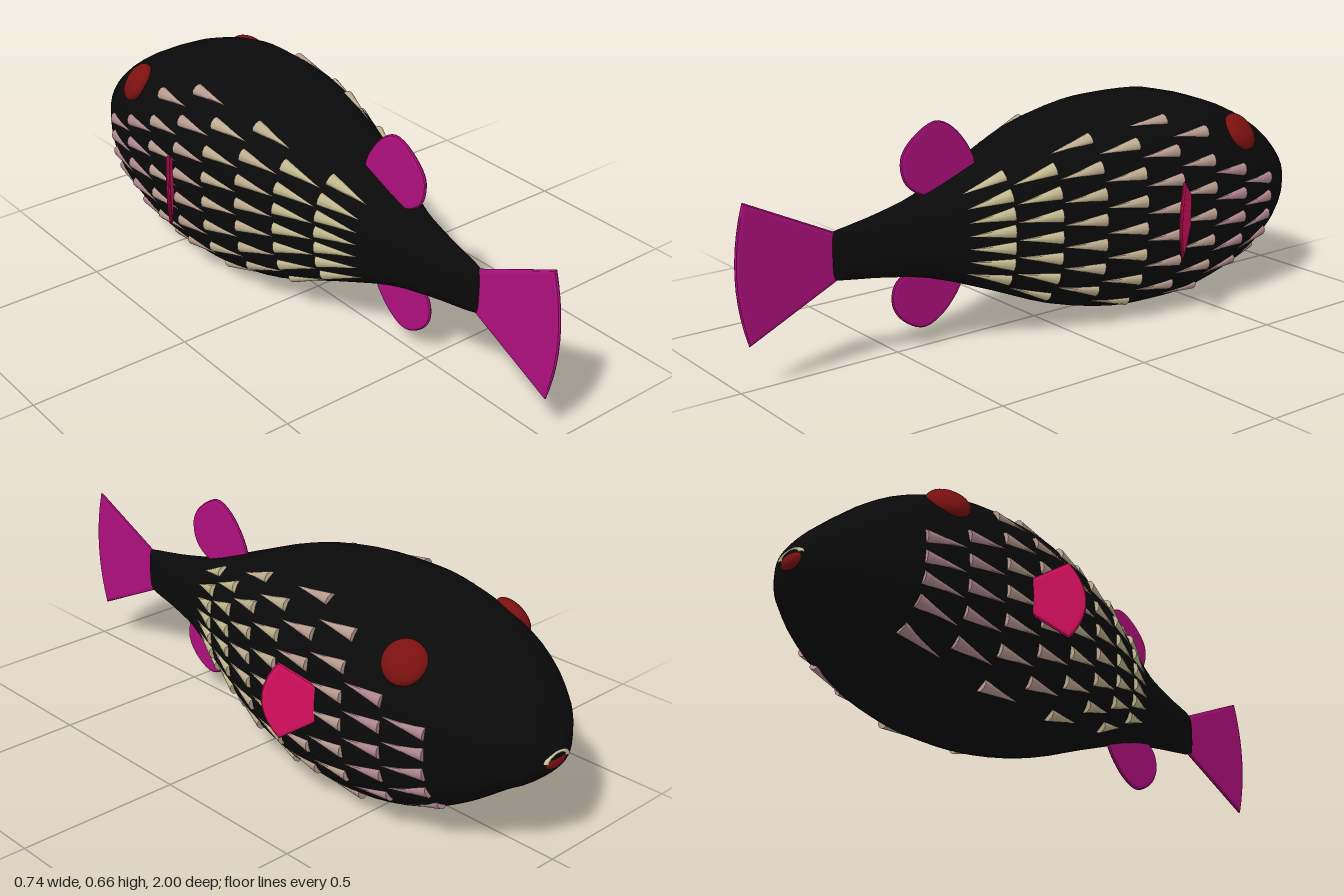
import * as THREE from 'three';

const mat = (name, color) => Object.assign(new THREE.MeshStandardMaterial({ color }), { name });

// Body stations from nose to tail root: z, half width, half height, centre height
const STATIONS = [
  [-0.995, 0.012, 0.008, 0.305], [-0.985, 0.05, 0.028, 0.305], [-0.95, 0.115, 0.075, 0.305],
  [-0.9, 0.173, 0.12, 0.318], [-0.8, 0.235, 0.2, 0.325], [-0.68, 0.268, 0.266, 0.325],
  [-0.5, 0.284, 0.319, 0.326], [-0.35, 0.286, 0.326, 0.326], [-0.2, 0.275, 0.318, 0.327],
  [0, 0.235, 0.275, 0.33], [0.2, 0.17, 0.197, 0.332], [0.4, 0.093, 0.122, 0.33],
  [0.55, 0.056, 0.09, 0.328], [0.65, 0.034, 0.076, 0.327], [0.695, 0.016, 0.07, 0.327],
  [0.71, 0.002, 0.064, 0.327],
];
const POWER = 2.7;

// Smoothly interpolated station at depth z
function section(z) {
  let i = 0;
  while (i < STATIONS.length - 2 && STATIONS[i + 1][0] < z) i++;
  const at = (k) => STATIONS[Math.min(Math.max(k, 0), STATIONS.length - 1)];
  const [p0, a, b, p3] = [at(i - 1), at(i), at(i + 1), at(i + 2)];
  const d = b[0] - a[0], t = (z - a[0]) / d;
  return [1, 2, 3].map((k) => {
    const m0 = (b[k] - p0[k]) / (b[0] - p0[0]) * d, m1 = (p3[k] - a[k]) / (p3[0] - a[0]) * d;
    return (2 * t ** 3 - 3 * t ** 2 + 1) * a[k] + (t ** 3 - 2 * t ** 2 + t) * m0
      + (3 * t ** 2 - 2 * t ** 3) * b[k] + (t ** 3 - t ** 2) * m1;
  });
}

// Rounded-square cross-sections skinned into a closed body
function bodyGeometry() {
  const sides = 36, pos = [], idx = [], zs = [];
  for (let i = 0; i < STATIONS.length - 1; i++)
    for (let k = 0; k < 3; k++) zs.push(THREE.MathUtils.lerp(STATIONS[i][0], STATIONS[i + 1][0], k / 3));
  zs.push(STATIONS.at(-1)[0]);
  const bend = (v) => Math.sign(v) * Math.abs(v) ** (2 / POWER);
  for (const z of zs) {
    const [w, h, cy] = section(z);
    for (let j = 0; j < sides; j++) {
      const a = (j / sides) * Math.PI * 2;
      pos.push(w * bend(Math.cos(a)), cy + h * bend(Math.sin(a)), z);
    }
  }
  for (let i = 0; i < zs.length - 1; i++)
    for (let j = 0; j < sides; j++) {
      const a = i * sides + j, b = i * sides + (j + 1) % sides;
      idx.push(a, b, a + sides, b, b + sides, a + sides);
    }
  // End caps
  const last = (zs.length - 1) * sides;
  for (let j = 1; j < sides - 1; j++) idx.push(0, j + 1, j, last, last + j, last + j + 1);
  const g = new THREE.BufferGeometry();
  g.setAttribute('position', new THREE.Float32BufferAttribute(pos, 3));
  g.setIndex(idx);
  g.computeVertexNormals();
  return g;
}

// Point on the left flank at relative height s (-1..1)
function flank(z, s) {
  const [w, h, cy] = section(z);
  return new THREE.Vector3(w * (1 - Math.abs(s) ** POWER) ** (1 / POWER), cy + h * s, z);
}

// Thin bevelled fin lying in the z-y plane, from a shape drawn as (z, y)
function finGeometry(shape) {
  const g = new THREE.ExtrudeGeometry(shape, {
    depth: 0.002, bevelThickness: 0.005, bevelSize: 0.012, bevelOffset: -0.012, bevelSegments: 2, curveSegments: 10,
  });
  return g.translate(0, 0, -0.001).rotateY(-Math.PI / 2);
}

function fanShape(z0, half0, z1, half1, z2) {
  const s = new THREE.Shape();
  s.moveTo(z0, -half0);
  s.lineTo(z1, -half1);
  s.quadraticCurveTo(2 * z2 - z1, 0, z1, half1);
  s.lineTo(z0, half0);
  s.closePath();
  return s;
}

export function createModel() {
  const model = new THREE.Group();
  model.name = 'fish';
  const black = mat('body black', 0x0a0a0a);
  const purple = mat('fin purple', 0xb00f7e);
  const crimson = mat('side fin crimson', 0xdb1160);
  const red = mat('eye red', 0x7c1111);
  const cream = mat('lip cream', 0xcfc6a0);
  const tints = [0xc3ba90, 0xbfae90, 0xb89c90, 0xb08890].map((c, i) => mat('scale tint ' + (i + 1), c));
  const add = (name, geometry, material, parent = model) => {
    const m = new THREE.Mesh(geometry, material);
    m.name = name;
    parent.add(m);
    return m;
  };

  add('body', bodyGeometry(), black);

  // Tail, back and belly fins
  add('tailFin', finGeometry(fanShape(0.64, 0.045, 0.968, 0.2, 1)), purple).position.y = 0.325;
  const outline = (pts) => new THREE.Shape(
    new THREE.CatmullRomCurve3(pts.map(([z, y]) => new THREE.Vector3(z, y, 0)), true).getPoints(36).slice(0, -1));
  add('backFin', finGeometry(outline([[0.22, 0.5], [0.27, 0.61], [0.35, 0.66], [0.435, 0.62],
    [0.475, 0.565], [0.46, 0.49], [0.38, 0.445]].reverse())), purple);
  add('bellyFin', finGeometry(outline([[0.27, 0.19], [0.32, 0.1], [0.405, 0.055], [0.485, 0.095],
    [0.515, 0.15], [0.5, 0.21], [0.4, 0.25]])), purple);

  const sideFin = finGeometry(fanShape(-0.04, 0.035, 0.1, 0.117, 0.15));
  const eyeGeo = new THREE.SphereGeometry(1, 24, 16).scale(0.064, 0.064, 0.032);
  const scaleGeo = new THREE.ConeGeometry(0.02, 0.135, 8).rotateX(Math.PI / 2).translate(0, 0, 0.0675).scale(0.65, 1, 1);

  for (const side of [1, -1]) {
    const label = side > 0 ? 'left' : 'right';

    const fin = add(label + 'SideFin', sideFin, crimson);
    fin.position.set(side * 0.281, 0.328, -0.375);
    fin.rotation.y = side * 0.64;

    const eye = add(label + 'Eye', eyeGeo, red);
    eye.position.set(side * 0.218, 0.527, -0.645);
    eye.lookAt(side * 1.0, 1.17, -0.98);

    // Staggered columns of pointed scales, tips toward the tail
    const scales = new THREE.Group();
    scales.name = label + 'Scales';
    model.add(scales);
    for (let col = 0; col < 8; col++) {
      for (let row = 0; row < 7; row++) {
        const s = (0.85 - row * 0.26) * (col % 2 ? -1 : 1);
        if ((col >= 6 && s > 0.45) || (col === 5 && s > 0.8)) continue;
        const z = 0.2 - col * 0.136;
        const p = flank(z, s);
        const along = flank(z + 0.13, s).sub(p).normalize();
        const up = flank(z, s + 0.05).sub(flank(z, s - 0.05)).normalize();
        const out = new THREE.Vector3().crossVectors(up, along).normalize();
        up.crossVectors(along, out);
        if (side < 0) {
          for (const v of [p, along, up, out]) v.x *= -1;
          up.negate();
        }
        const scale = add('scale', scaleGeo, tints[col >> 1], scales);
        scale.quaternion.setFromRotationMatrix(new THREE.Matrix4().makeBasis(out, up, along));
        scale.position.copy(p);
      }
    }
  }

  // Mouth with a pale upper lip
  const mouth = add('mouth', new THREE.SphereGeometry(1, 20, 12).scale(0.046, 0.024, 0.02), red);
  mouth.position.set(0, 0.294, -0.978);
  const lip = add('upperLip', new THREE.TorusGeometry(0.042, 0.009, 8, 20, Math.PI).scale(1, 0.5, 1), cream);
  lip.position.set(0, 0.3, -0.986);

  return model;
}
